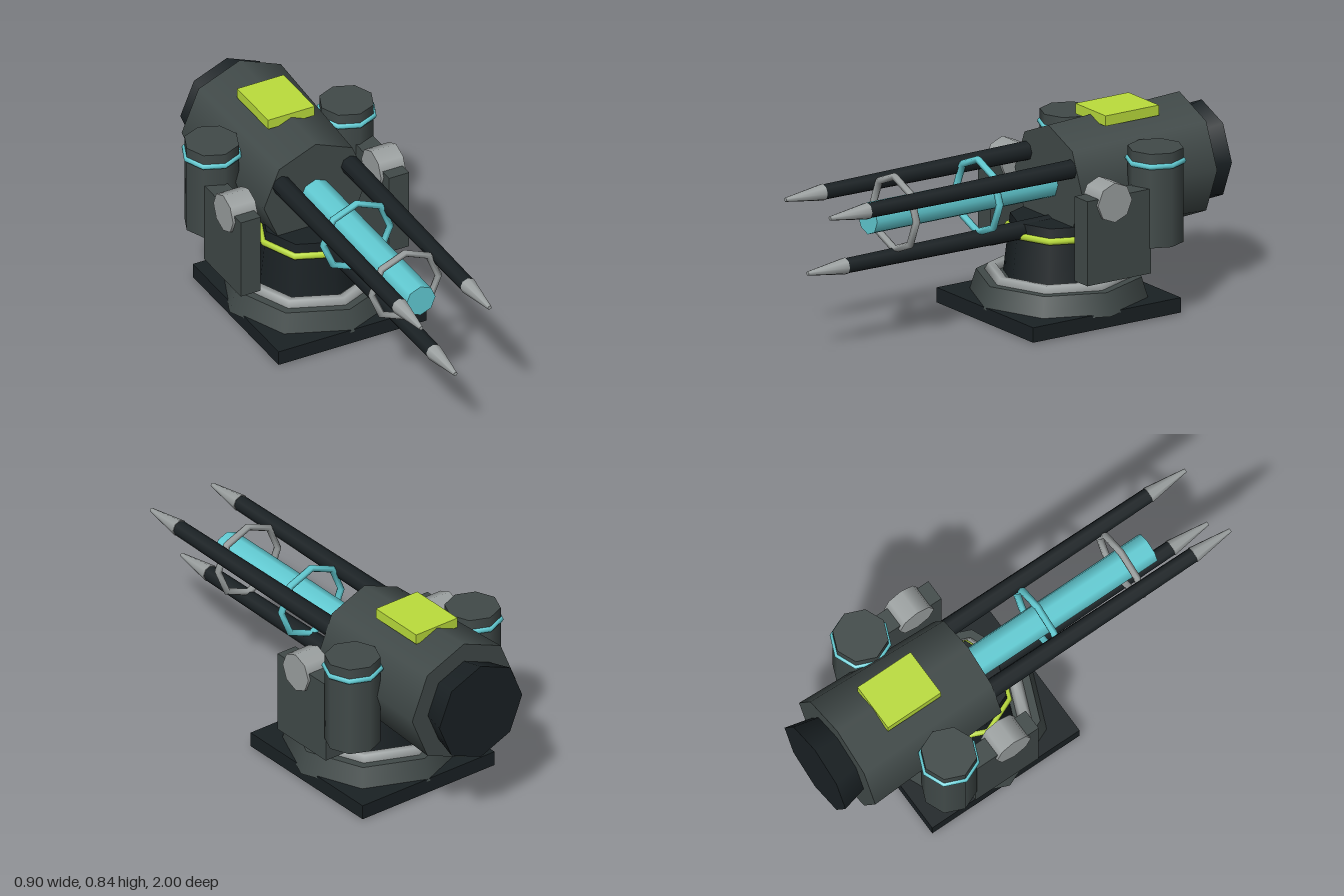
import * as THREE from 'three';

const mat = (color) => new THREE.MeshStandardMaterial({ color });
const SIDES = 8;

export function createModel() {
  const model = new THREE.Group();
  const hull = mat(0x414a49), black = mat(0x1a2124), steel = mat(0x9ca1a1);
  const cyan = mat(0x62ccd4), lime = mat(0xbbdd3c);
  const axisY = 0.563, turnZ = -0.275;

  function add(name, geometry, material, x, y, z) {
    const mesh = new THREE.Mesh(geometry, material);
    mesh.name = name;
    mesh.position.set(x, y, z);
    model.add(mesh);
    return mesh;
  }
  const box = (name, m, w, h, d, x, y, z) => add(name, new THREE.BoxGeometry(w, h, d), m, x, y, z);

  // Upright cylinder from y0 to y1
  const post = (name, m, r0, r1, y0, y1, x, z) =>
    add(name, new THREE.CylinderGeometry(r1, r0, y1 - y0, SIDES), m, x, (y0 + y1) / 2, z);

  // Cylinder lying along z, from z0 (back) to z1 (front)
  const tube = (name, m, r0, r1, z0, z1, x, y) =>
    add(name, new THREE.CylinderGeometry(r1, r0, z1 - z0, SIDES).rotateX(Math.PI / 2), m, x, y, (z0 + z1) / 2);

  // Eight-sided ring, facing z or lying flat
  const ring = (name, m, R, r, x, y, z, flat) => {
    const g = new THREE.TorusGeometry(R, r, 6, SIDES);
    if (flat) g.rotateX(Math.PI / 2);
    return add(name, g, m, x, y, z);
  };

  // Base and turntable
  box('footPlate', black, 0.59, 0.01, 0.65, 0, 0.005, turnZ);
  box('basePlate', black, 0.7, 0.065, 0.75, 0, 0.0375, turnZ);
  post('turntable', hull, 0.38, 0.35, 0.06, 0.157, 0, turnZ);
  ring('turntableRing', steel, 0.283, 0.031, 0, 0.158, turnZ, true);
  post('neck', black, 0.236, 0.206, 0.15, 0.408, 0, turnZ);
  ring('neckRing', lime, 0.216, 0.015, 0, 0.355, turnZ, true);

  // Main housing with flared tail and top block
  tube('housing', hull, 0.275, 0.245, -0.887, -0.222, 0, axisY);
  tube('tail', black, 0.22, 0.18, -1, -0.84, 0, axisY);
  box('topBlock', lime, 0.22, 0.045, 0.27, 0, 0.815, -0.571);

  // Side canisters, brackets and pivots
  for (const s of [1, -1]) {
    post('canister', hull, 0.118, 0.118, 0.33, 0.739, s * 0.319, -0.543);
    ring('canisterRing', cyan, 0.118, 0.0125, s * 0.319, 0.684, -0.543, true);
    box('bracket', hull, 0.094, 0.368, 0.322, s * 0.351, 0.404, -0.303);
    add('pivot', new THREE.CylinderGeometry(0.086, 0.086, 0.118, SIDES).rotateZ(Math.PI / 2),
      steel, s * 0.35, axisY, turnZ);
  }

  // Central barrel and its rings
  tube('coreBarrel', cyan, 0.07, 0.07, -0.3, 0.695, 0, axisY);
  ring('rearBarrelRing', cyan, 0.158, 0.016, 0, axisY, 0.135, false);
  ring('frontBarrelRing', steel, 0.158, 0.016, 0, axisY, 0.558, false);

  // Three prongs spaced evenly around the barrel
  for (const deg of [30, 150, 270]) {
    const a = THREE.MathUtils.degToRad(deg);
    const x = 0.187 * Math.cos(a), y = axisY + 0.187 * Math.sin(a);
    tube('prong', black, 0.043, 0.034, -0.29, 0.812, x, y);
    tube('prongTip', steel, 0.037, 0.009, 0.81, 1, x, y);
  }

  return model;
}
